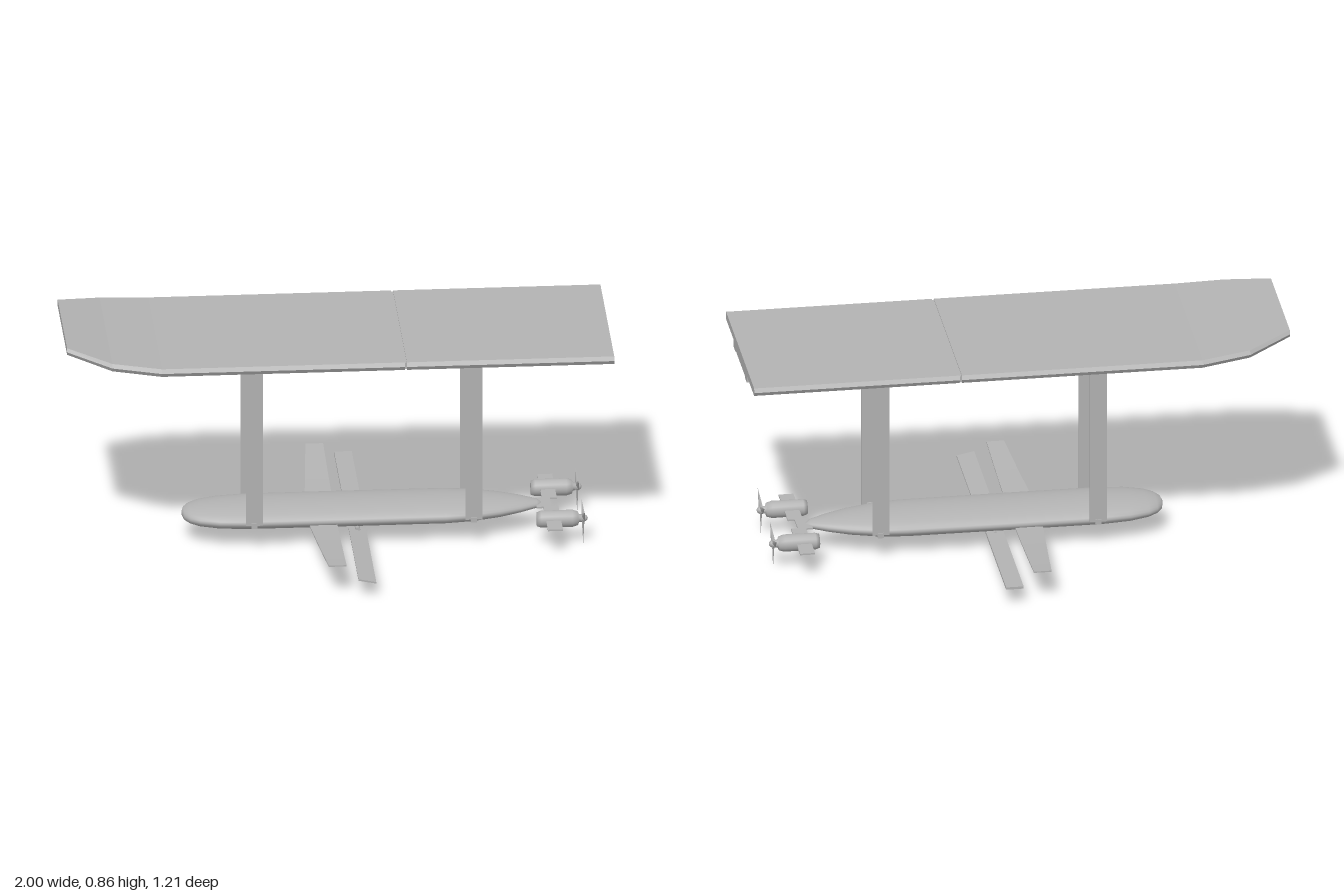
import * as THREE from 'three';
import { mergeVertices } from 'three/addons/utils/BufferGeometryUtils.js';

const grey = new THREE.MeshStandardMaterial({ color: 0xb2b2b2 });
grey.name = 'grey';

// Skin a list of rings (arrays of [x, y, z], counter-clockwise seen from the far end) and cap both ends.
function loft(rings, smooth = false) {
  const n = rings[0].length, pos = [];
  const tri = (a, b, c) => pos.push(...a, ...b, ...c);
  for (let i = 0; i < rings.length - 1; i++) {
    for (let j = 0; j < n; j++) {
      const k = (j + 1) % n;
      tri(rings[i][j], rings[i][k], rings[i + 1][k]);
      tri(rings[i][j], rings[i + 1][k], rings[i + 1][j]);
    }
  }
  const first = rings[0], last = rings[rings.length - 1];
  for (let j = 1; j < n - 1; j++) {
    tri(first[0], first[j + 1], first[j]);
    tri(last[0], last[j], last[j + 1]);
  }
  let g = new THREE.BufferGeometry();
  g.setAttribute('position', new THREE.Float32BufferAttribute(pos, 3));
  if (smooth) g = mergeVertices(g, 1e-5);
  g.computeVertexNormals();
  return g;
}

function add(parent, name, geometry, x = 0, y = 0, z = 0) {
  const m = new THREE.Mesh(geometry, grey);
  m.name = name;
  m.position.set(x, y, z);
  parent.add(m);
  return m;
}

const box = (w, h, d) => new THREE.BoxGeometry(w, h, d);

// Deck section with bevelled edges: half width w, bottom b, top t
function deckRing(x, w, b, t) {
  const m = (b + t) / 2, e = 0.009;
  return [[x, m, -w], [x, t, -w + e], [x, t, w - e], [x, m, w], [x, b, w - e], [x, b, -w + e]];
}

// Four-cornered wing section at z
const wingRing = (z, x0, y0, x1, y1, t) =>
  [[x0, y0 - t, z], [x1, y1 - t, z], [x1, y1, z], [x0, y0, z]];

function makeThruster(z) {
  const g = new THREE.Group();
  g.name = 'thruster';
  g.position.set(0, 0.098, z);
  const profile = [[0, 0.73], [0.026, 0.73], [0.031, 0.745], [0.032, 0.86], [0.026, 0.88], [0.014, 0.885],
    [0.014, 0.905], [0.008, 0.914], [0, 0.917]].map(p => new THREE.Vector2(...p));
  const body = new THREE.LatheGeometry(profile, 20);
  body.rotateZ(-Math.PI / 2);
  add(g, 'thrusterBody', body);
  // Three tapered, pitched blades
  for (let i = 0; i < 3; i++) {
    const blade = new THREE.ConeGeometry(0.017, 0.097, 4);
    blade.scale(0.28, 1, 1);
    blade.rotateY(0.4);
    blade.translate(0, 0.0485, 0);
    blade.rotateX(Math.PI - 0.06 + i * Math.PI * 2 / 3);
    add(g, 'propellerBlade', blade, 0.9);
  }
  return g;
}

export function createModel() {
  const model = new THREE.Group();
  model.name = 'waveVehicle';

  // Upper float: upturned bow section, stern section and the seam between them
  add(model, 'floatBow', loft([
    deckRing(-1, 0.24, 0.838, 0.864),
    deckRing(-0.84, 0.325, 0.803, 0.832),
    deckRing(-0.66, 0.351, 0.786, 0.816),
    deckRing(0.231, 0.351, 0.786, 0.816)]));
  add(model, 'floatStern', loft([
    deckRing(0.239, 0.351, 0.786, 0.816), deckRing(1, 0.351, 0.786, 0.816)]));
  add(model, 'floatSeam', box(0.02, 0.024, 0.68), 0.235, 0.8, 0);

  // Keel plate with its two rails
  add(model, 'keelPlate', box(1.66, 0.022, 0.33), 0.17, 0.776, 0);
  for (const s of [-1, 1]) {
    add(model, 'keelRail', box(1.66, 0.009, 0.042), 0.17, 0.762, s * 0.137);
    for (const x of [-0.305, 0.5]) {
      add(model, 'strut', box(0.062, 0.66, 0.008), x, 0.43, s * 0.137);
      add(model, 'strutTopClamp', box(0.03, 0.012, 0.03), x, 0.756, s * 0.137);
      add(model, 'strutFoot', box(0.022, 0.02, 0.034), x, 0.1, s * 0.128);
    }
  }

  // Flattened hull: [x, half width, half height]
  const stations = [[-0.562, 0.012, 0.008], [-0.555, 0.045, 0.019], [-0.535, 0.075, 0.028], [-0.5, 0.1, 0.035],
    [-0.43, 0.122, 0.041], [-0.33, 0.132, 0.044], [0, 0.133, 0.044], [0.4, 0.131, 0.044], [0.5, 0.12, 0.041],
    [0.6, 0.093, 0.034], [0.68, 0.06, 0.025], [0.74, 0.028, 0.015], [0.757, 0.006, 0.004]];
  add(model, 'hull', loft(stations.map(([x, w, h]) => {
    const ring = [];
    for (let i = 0; i < 28; i++) {
      const a = i / 28 * Math.PI * 2;
      ring.push([x, 0.1 + h * Math.sin(a), -w * Math.cos(a)]);
    }
    return ring;
  }), true));

  // Swept wing pair, curving upward to the tips
  const rings = [];
  for (let i = -8; i <= 8; i++) {
    const z = i / 8 * 0.58, u = Math.abs(i) / 8;
    const y = 0.09 + 0.028 * Math.max(0, (u - 0.17) / 0.83) ** 1.6;
    rings.push(wingRing(z, -0.112 + 0.047 * u, y, 0, y, 0.005));
  }
  add(model, 'curvedWings', loft(rings));

  // Straight wing pair, the left one pitched down at its trailing edge
  add(model, 'wingLeft', loft([0.1, 0.605].map(z => wingRing(z, 0.042, 0.071, 0.107, 0.058, 0.006))));
  add(model, 'wingRight', loft([-0.605, -0.1].map(z => wingRing(z, 0.042, 0.073, 0.107, 0.073, 0.009))));
  add(model, 'wingShaft', new THREE.CylinderGeometry(0.009, 0.009, 0.25, 12).rotateX(Math.PI / 2), 0.075, 0.067, 0);

  // Thrusters with flat fins reaching in to the tail and outward
  for (const s of [-1, 1]) {
    model.add(makeThruster(s * 0.15));
    add(model, 'thrusterFin', box(0.055, 0.006, 0.225), 0.79, 0.1, s * 0.152);
  }
  add(model, 'tailBar', box(0.055, 0.006, 0.09), 0.765, 0.1, 0);
  return model;
}
